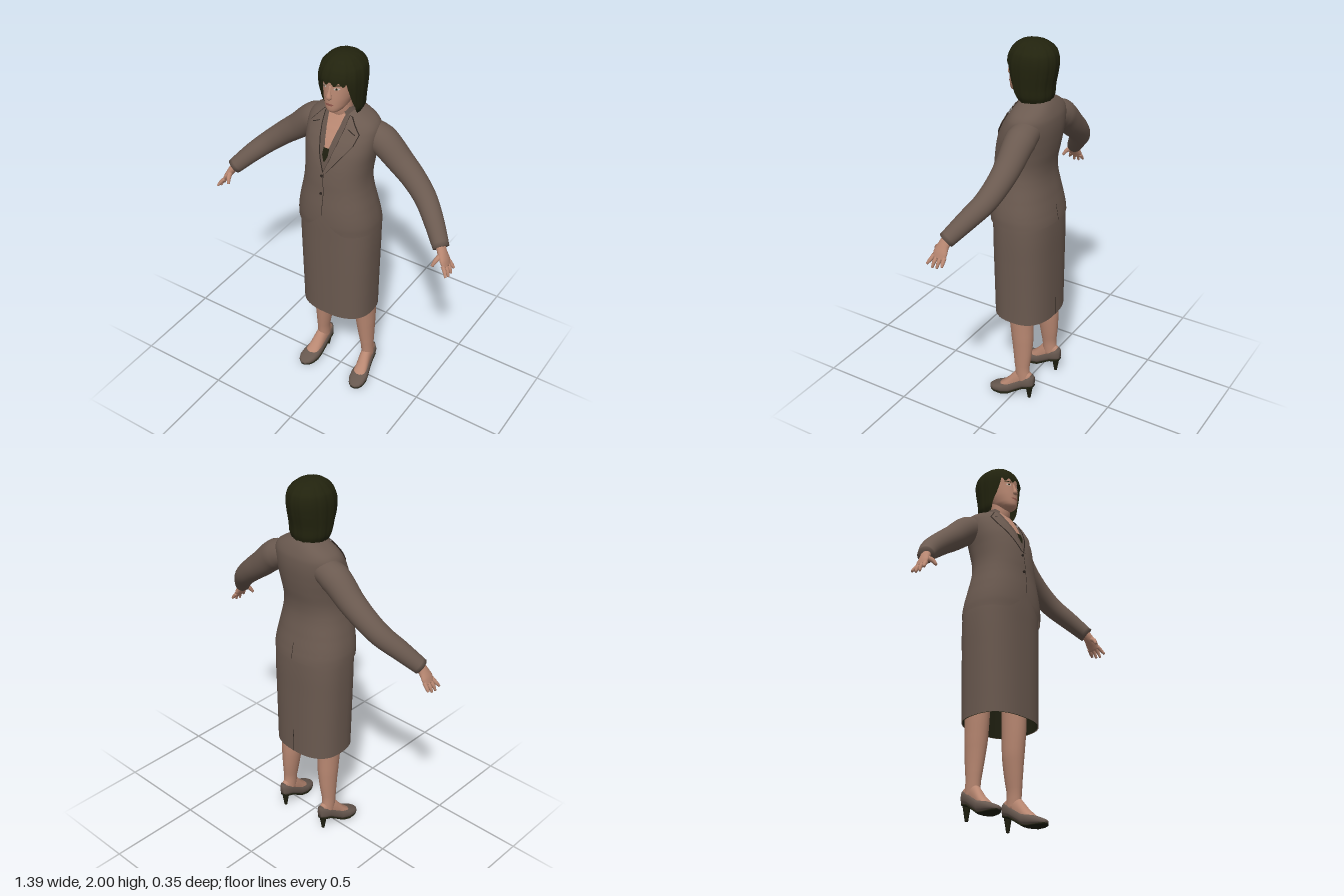
import * as THREE from 'three';

const mat = (name, color) => new THREE.MeshStandardMaterial({ name, color, side: THREE.DoubleSide });

// Skin over a grid of points; rows run along the part, columns run around it
function grid(rows, closed = true) {
  const n = rows[0].length, pos = rows.flat(2), idx = [];
  for (let i = 0; i < rows.length - 1; i++)
    for (let j = 0; j < (closed ? n : n - 1); j++) {
      const a = i * n + j, b = i * n + (j + 1) % n;
      idx.push(a, b, b + n, a, b + n, a + n);
    }
  const g = new THREE.BufferGeometry();
  g.setAttribute('position', new THREE.Float32BufferAttribute(pos, 3));
  g.setIndex(idx);
  g.computeVertexNormals();
  return g;
}
const centre = (row) => {
  const c = [0, 1, 2].map((k) => row.reduce((s, p) => s + p[k], 0) / row.length);
  return row.map(() => c);
};
const capped = (rows) => [centre(rows[0]), ...rows, centre(rows[rows.length - 1])];
const power = (v, n) => Math.sign(v) * Math.abs(v) ** (2 / n);

// Smoothly interpolated section [y, halfWidth, zFront, zBack] at a height
function section(rings, y) {
  let i = 0;
  while (i < rings.length - 2 && y > rings[i + 1][0]) i++;
  const at = (k) => rings[Math.min(Math.max(k, 0), rings.length - 1)];
  const t = THREE.MathUtils.clamp((y - at(i)[0]) / (at(i + 1)[0] - at(i)[0]), 0, 1);
  return [1, 2, 3].map((k) => {
    const a = at(i)[k], b = at(i + 1)[k], m = (b - at(i - 1)[k]) / 2, q = (at(i + 2)[k] - a) / 2;
    return a + t * (m + t * (3 * (b - a) - 2 * m - q + t * (2 * (a - b) + m + q)));
  });
}
// Upright loft; hem(angle) lifts the lower edge, wave(angle) ruffles the surface
function loft(rings, { n = 2.3, steps = 36, segs = 48, hem = null, wave = () => 1, top = true } = {}) {
  const y0 = rings[0][0], y1 = rings[rings.length - 1][0], rows = [];
  for (let i = 0; i <= steps; i++) {
    const row = [];
    for (let j = 0; j < segs; j++) {
      const a = (j / segs) * Math.PI * 2;
      let y = y0 + (y1 - y0) * (i / steps);
      if (hem) y = Math.max(y, hem(a > Math.PI ? a - 2 * Math.PI : a));
      const [rx, zf, zb] = section(rings, y), w = wave(a);
      row.push([rx * w * power(Math.sin(a), n), y, (zf + zb) / 2 + (zf - zb) / 2 * w * power(Math.cos(a), n)]);
    }
    rows.push(row);
  }
  if (top) rows.push(centre(rows[rows.length - 1]));
  return grid(rows);
}
// Thin panel laid on the front (or back) of a loft between two edges of [x, y] points
function panel(rings, left, right, off, { n = 2.3, back = false } = {}) {
  const rows = [], steps = 20, cols = 8;
  const along = (e, t) => {
    const f = t * (e.length - 1), i = Math.min(Math.floor(f), e.length - 2);
    return [0, 1].map((k) => e[i][k] + (e[i + 1][k] - e[i][k]) * (f - i));
  };
  for (let i = 0; i <= steps; i++) {
    const a = along(left, i / steps), b = along(right, i / steps), row = [];
    for (let j = 0; j <= cols; j++) {
      const x = a[0] + (b[0] - a[0]) * j / cols, y = a[1] + (b[1] - a[1]) * j / cols;
      const [rx, zf, zb] = section(rings, y), h = (zf - zb) / 2;
      const d = h * Math.max(0, 1 - Math.abs(x / rx) ** n) ** (1 / n) + off;
      row.push([x, y, (zf + zb) / 2 + (back ? -d : d)]);
    }
    rows.push(row);
  }
  return grid(rows, false);
}
// Limb along [x, y, z, depthRadius, widthRadius] stations, mirrored by side s
function limb(stations, s = 1, segs = 20, steps = 20) {
  const curve = new THREE.CatmullRomCurve3(stations.map((p) => new THREE.Vector3(p[0] * s, p[1], p[2])));
  const rows = [];
  for (let i = 0; i <= steps; i++) {
    const f = (i / steps) * (stations.length - 1), k = Math.min(Math.floor(f), stations.length - 2);
    const rad = (q) => THREE.MathUtils.lerp(stations[k][q] ?? stations[k][3], stations[k + 1][q] ?? stations[k + 1][3], f - k);
    const c = curve.getPoint(i / steps), t = curve.getTangent(i / steps);
    const u = new THREE.Vector3(0, 0, 1).addScaledVector(t, -t.z).normalize(), v = t.clone().cross(u);
    rows.push(Array.from({ length: segs }, (_, j) => {
      const a = (j / segs) * Math.PI * 2;
      return c.clone().addScaledVector(u, rad(3) * Math.cos(a)).addScaledVector(v, rad(4) * Math.sin(a)).toArray();
    }));
  }
  return grid(capped(rows));
}
// Foot shapes from [z, centreX, halfWidth, yBottom, yTop] stations
const footLoft = (st, s, n = 2.6) => grid(capped(st.map(([z, cx, w, y0, y1]) =>
  Array.from({ length: 24 }, (_, j) => {
    const a = (j / 24) * Math.PI * 2;
    return [cx * s + w * power(Math.cos(a), n), (y0 + y1) / 2 + (y1 - y0) / 2 * power(Math.sin(a), n), z];
  }))));

export function createModel() {
  const model = new THREE.Group();
  const suit = mat('suit cloth', 0x6b5a50), blouse = mat('blouse', 0x63534a), skin = mat('skin', 0xb98872);
  const hairMat = mat('dark hair', 0x22230e), dark = mat('dark lining', 0x1f1f10), seam = mat('seam', 0x2e2621);
  const shoeMat = mat('shoe leather', 0x67584f), lip = mat('lips', 0x93594e), white = mat('eye white', 0xc9bdb2);
  const add = (name, geo, m) => {
    const mesh = new THREE.Mesh(geo, m);
    mesh.name = name;
    model.add(mesh);
    return mesh;
  };

  // Skirt with dark inside
  const skirt = [[0.492, 0.2, 0.152, -0.165], [0.65, 0.203, 0.153, -0.165], [0.85, 0.208, 0.154, -0.165],
    [1.0, 0.211, 0.154, -0.165], [1.1, 0.206, 0.154, -0.158], [1.22, 0.18, 0.15, -0.13]];
  const skirtHem = (a) => 0.498 - 0.006 * Math.cos(a + Math.PI);
  add('skirt', loft(skirt, { n: 2.5, hem: skirtHem }), suit);
  add('skirtLining', loft(skirt.map(([y, x, f, b]) => [y, x - 0.005, f - 0.005, b + 0.005]), { n: 2.5, hem: skirtHem }), dark);
  add('skirtVent', panel(skirt, [[-0.002, 0.495], [-0.002, 0.63]], [[0.002, 0.495], [0.002, 0.63]], 0.002, { n: 2.5, back: true }), seam);

  // Jacket body with a cutaway front hem
  const jacket = [[1.065, 0.218, 0.172, -0.172], [1.12, 0.215, 0.176, -0.164], [1.2, 0.2, 0.174, -0.148], [1.3, 0.178, 0.165, -0.131],
    [1.37, 0.17, 0.16, -0.132], [1.45, 0.175, 0.149, -0.147], [1.52, 0.185, 0.13, -0.158], [1.58, 0.19, 0.102, -0.163],
    [1.63, 0.186, 0.072, -0.16], [1.66, 0.165, 0.052, -0.15], [1.685, 0.125, 0.037, -0.138], [1.705, 0.085, 0.025, -0.125], [1.712, 0.07, 0.02, -0.118]];
  add('jacket', loft(jacket, { segs: 72, steps: 60, hem: (a) => 1.065 + 0.11 * Math.max(0, 1 - Math.abs(a) / 0.6) ** 2 }), suit);
  const line = (pts, w) => [pts.map(([x, y]) => [x - w, y]), pts.map(([x, y]) => [x + w, y])];
  add('jacketClosure', panel(jacket, ...line([[0, 1.175], [0.006, 1.3], [0, 1.42]], 0.0015), 0.003), seam);
  add('jacketBackVent', panel(jacket, ...line([[0, 1.07], [0, 1.16]], 0.0015), 0.002, { back: true }), seam);
  for (const y of [1.3, 1.4]) {
    const button = add('button', new THREE.CylinderGeometry(0.007, 0.007, 0.006, 16), seam);
    button.rotation.x = Math.PI / 2;
    button.position.set(-0.008, y, section(jacket, y)[1] + 0.003);
  }

  // Neck opening: blouse, skin and camisole in thin layers
  const vee = (pts, off, name, m) => add(name, panel(jacket, pts.map(([x, y]) => [-x, y]), pts, off), m);
  const edge = [[0.001, 1.42], [0.03, 1.5], [0.052, 1.58], [0.064, 1.64], [0.068, 1.695]];
  vee(edge, 0.002, 'blouse', blouse);
  vee([[0.004, 1.51], [0.02, 1.58], [0.034, 1.64], [0.046, 1.7]], 0.005, 'chest', skin);
  vee([[0.004, 1.48], [0.016, 1.51], [0.016, 1.545]], 0.007, 'camisole', dark);
  add('blouseCollar', loft([[1.67, 0.095, 0.052, -0.13], [1.7, 0.076, 0.044, -0.115], [1.728, 0.062, 0.035, -0.095]],
    { top: false, n: 2, steps: 10, hem: (a) => Math.abs(a) < 0.55 ? 1.728 : 1.67 }), blouse);
  const lapel = [[0.012, 1.42], [0.07, 1.5], [0.122, 1.575], [0.135, 1.625], [0.078, 1.69]];
  const notch = [[0.12, 1.622], [0.1, 1.632], [0.08, 1.642]];
  for (const s of [1, -1]) {
    const flip = (pts, d = 0) => pts.map(([x, y]) => [s * (x + d), y]);
    const pair = (a, b) => s > 0 ? [a, b] : [b, a];
    add('lapelEdge', panel(jacket, ...pair(flip(edge, -0.003), flip(lapel, 0.003)), 0.004), seam);
    add('lapel', panel(jacket, ...pair(flip(edge), flip(lapel)), 0.008), suit);
    add('lapelNotch', panel(jacket, flip(notch), flip(notch).map(([x, y]) => [x, y + 0.004]), 0.0095), seam);

    // Sleeves and hands
    add('sleeve', limb([[0.1, 1.59, -0.07, 0.065], [0.195, 1.555, -0.07, 0.077], [0.3, 1.467, -0.07, 0.067], [0.38, 1.403, -0.062, 0.061],
      [0.46, 1.335, -0.038, 0.056], [0.54, 1.262, 0.015, 0.05], [0.62, 1.178, 0.078, 0.041]], s, 28, 36), suit);
    add('palm', limb([[0.605, 1.2, 0.068, 0.026, 0.022], [0.632, 1.155, 0.084, 0.03, 0.02], [0.65, 1.125, 0.09, 0.038, 0.016], [0.664, 1.096, 0.093, 0.036, 0.011]], s), skin);
    [[0.122, 0.145, 1.066], [0.102, 0.115, 1.054], [0.082, 0.088, 1.057], [0.063, 0.06, 1.07]].forEach(([z0, z1, y]) =>
      add('finger', limb([[0.658, 1.108, z0, 0.011, 0.01], [0.677, 1.084, (z0 + z1) / 2, 0.0095], [0.688, y, z1, 0.006]], s, 10, 8), skin));
    add('thumb', limb([[0.632, 1.15, 0.1, 0.014], [0.622, 1.132, 0.128, 0.012], [0.612, 1.105, 0.146, 0.007]], s, 10, 8), skin);

    // Legs and feet
    add('leg', limb([[0.135, 0.66, -0.035, 0.072, 0.06], [0.135, 0.5, -0.037, 0.067, 0.056], [0.135, 0.38, -0.043, 0.061, 0.052],
      [0.14, 0.28, -0.046, 0.052, 0.042], [0.146, 0.19, -0.047, 0.041, 0.033], [0.147, 0.1, -0.055, 0.042, 0.031]], s), skin);
    add('foot', footLoft([[-0.1, 0.145, 0.022, 0.09, 0.16], [-0.05, 0.147, 0.03, 0.06, 0.19], [-0.01, 0.151, 0.032, 0.03, 0.158],
      [0.03, 0.157, 0.036, 0.015, 0.105], [0.07, 0.162, 0.04, 0.015, 0.065], [0.11, 0.165, 0.03, 0.015, 0.035]], s, 2.1), skin);

    // High-heeled shoe
    const shoe = [[-0.116, 0.144, 0.016, 0.085, 0.148], [-0.1, 0.145, 0.03, 0.078, 0.152], [-0.06, 0.147, 0.035, 0.066, 0.132],
      [-0.02, 0.151, 0.038, 0.04, 0.105], [0.02, 0.157, 0.043, 0.014, 0.08], [0.06, 0.162, 0.05, 0.006, 0.066],
      [0.1, 0.166, 0.046, 0.006, 0.05], [0.125, 0.168, 0.034, 0.008, 0.038], [0.14, 0.168, 0.014, 0.012, 0.028]];
    add('shoe', footLoft(shoe, s), shoeMat);
    add('sole', footLoft(shoe.map(([z, x, w, y]) => [z, x, w * 0.92, y - 0.006, y + 0.008]), s), dark);
    const heel = add('heel', new THREE.CylinderGeometry(0.022, 0.008, 0.088, 16), dark);
    heel.position.set(0.145 * s, 0.044, -0.09);
  }

  // Neck and head
  add('neck', limb([[0, 1.64, -0.045, 0.055, 0.062], [0, 1.7, -0.012, 0.054, 0.053], [0, 1.78, -0.005, 0.054, 0.053]]), skin);
  const face = [[1.722, 0.018, 0.082, 0.03], [1.732, 0.036, 0.096, 0], [1.755, 0.053, 0.1, -0.045], [1.8, 0.069, 0.099, -0.085],
    [1.86, 0.079, 0.094, -0.11], [1.91, 0.082, 0.09, -0.12], [1.95, 0.07, 0.06, -0.1], [1.975, 0.04, 0.03, -0.07]];
  const faceOpt = { n: 2.1 };
  add('head', grid([centre([[0, 1.718, 0.06]])].length && loft(face, faceOpt) ? chinRows(face) : []), skin);
  add('nose', limb([[0, 1.866, 0.088, 0.008, 0.007], [0, 1.835, 0.098, 0.009, 0.009], [0, 1.812, 0.104, 0.013, 0.015], [0, 1.803, 0.098, 0.008, 0.011]], 1, 14, 12), skin);
  const spot = (name, x, y, w, h, off, m) => add(name, panel(face,
    [[x - w, y], [x - w * 0.6, y + h], [x, y + h * 1.2], [x + w * 0.6, y + h], [x + w, y]],
    [[x - w, y], [x - w * 0.6, y - h], [x, y - h * 1.2], [x + w * 0.6, y - h], [x + w, y]].map(([a, b]) => [a, b]), off, faceOpt), m);
  spot('mouth', 0, 1.773, 0.024, 0.005, 0.003, lip);
  for (const s of [1, -1]) {
    spot('eye', 0.034 * s, 1.858, 0.014, 0.005, 0.002, white);
    spot('iris', 0.034 * s, 1.858, 0.005, 0.0045, 0.004, dark);
    spot('eyebrow', 0.035 * s, 1.876, 0.019, 0.0022, 0.003, hairMat);
  }

  // Hair: fringe in front, long at the sides and back
  const hairRings = [[1.69, 0.085, 0.06, -0.118], [1.73, 0.102, 0.075, -0.13], [1.78, 0.107, 0.085, -0.134], [1.85, 0.112, 0.098, -0.147],
    [1.9, 0.112, 0.1, -0.152], [1.94, 0.103, 0.086, -0.145], [1.97, 0.08, 0.062, -0.122], [1.988, 0.056, 0.035, -0.09], [1.998, 0.022, 0, -0.045]];
  const hairHem = (angle) => {
    const d = Math.abs(angle) * 180 / Math.PI, jag = 0.01 * Math.sin(angle * 17 + 1);
    if (d < 42) return 1.882 + jag;
    if (d < 78) return THREE.MathUtils.lerp(1.87, 1.715, Math.min(1, (d - 42) / 26)) + jag * 0.6;
    return 1.7 - 0.01 * (d - 78) / 102 + jag * 0.4;
  };
  add('hair', loft(hairRings, { n: 2.1, segs: 96, steps: 48, hem: hairHem, wave: (a) => 1 + 0.012 * Math.sin(13 * a) + 0.008 * Math.sin(29 * a + 1) }), hairMat);
  return model;
}

// Head surface closed under the chin and over the crown
function chinRows(rings) {
  const rows = [];
  for (let i = 0; i <= 36; i++) {
    const y = THREE.MathUtils.lerp(rings[0][0], rings[rings.length - 1][0], i / 36), [rx, zf, zb] = section(rings, y);
    rows.push(Array.from({ length: 48 }, (_, j) => {
      const a = (j / 48) * Math.PI * 2;
      return [rx * power(Math.sin(a), 2.1), y, (zf + zb) / 2 + (zf - zb) / 2 * power(Math.cos(a), 2.1)];
    }));
  }
  return capped(rows);
}
